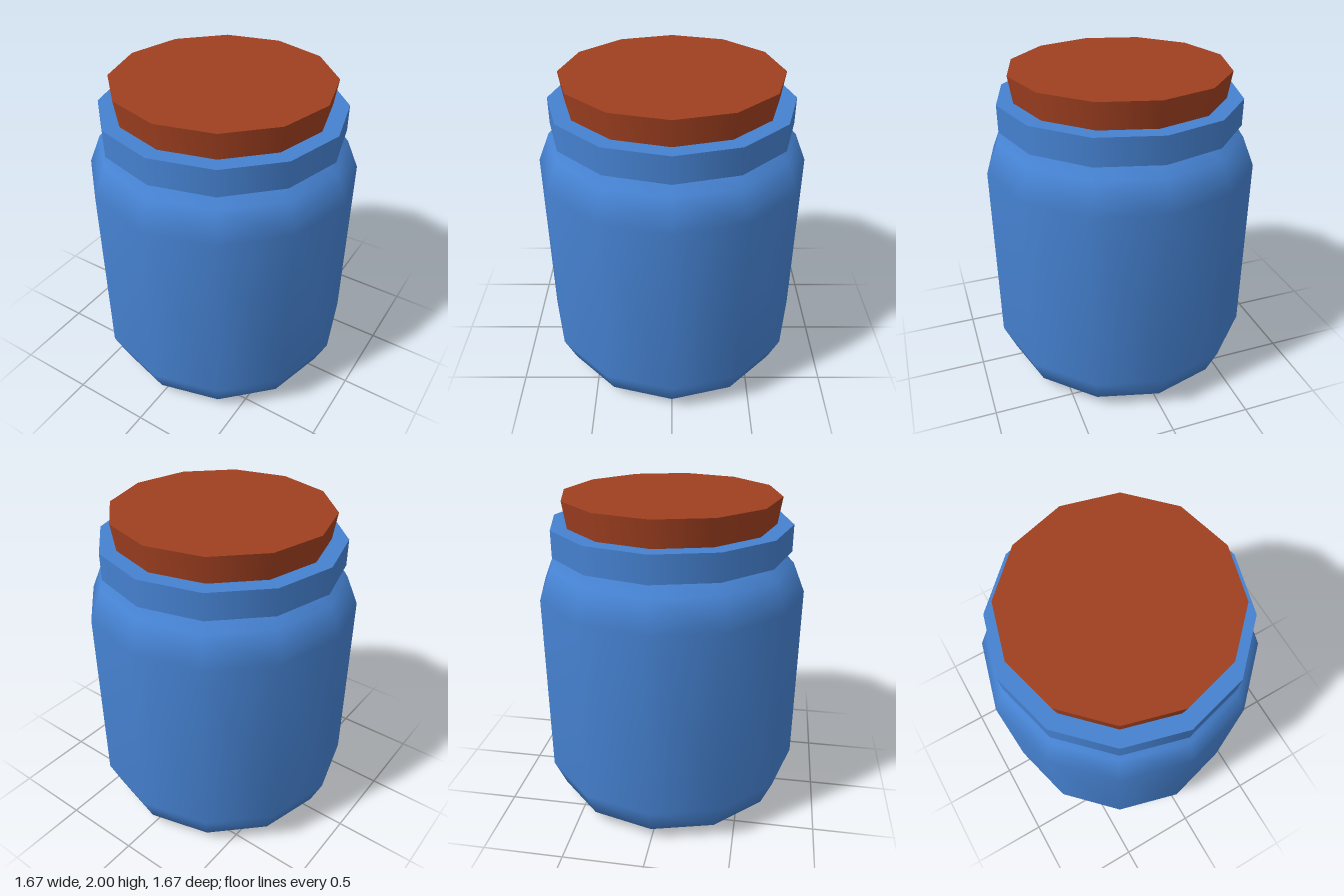
import * as THREE from 'three';

const SIDES = 12;

export function createModel() {
  const group = new THREE.Group();
  const glaze = new THREE.MeshStandardMaterial({ color: 0x4581d0 });
  const corkMaterial = new THREE.MeshStandardMaterial({ color: 0xa04020 });

  const add = (name, geometry, material, y = 0) => {
    const mesh = new THREE.Mesh(geometry, material);
    mesh.name = name;
    mesh.position.y = y;
    group.add(mesh);
  };

  // Jar body: smooth-shaded profile with bevelled foot and shoulder
  const profile = [
    [0, 0], [0.575, 0.005], [0.76, 0.08], [0.835, 0.255],
    [0.835, 1.42], [0.76, 1.6], [0.575, 1.655], [0, 1.66],
  ].map(([r, y]) => new THREE.Vector2(r, y));
  add('jarBody', new THREE.LatheGeometry(profile, SIDES), glaze);

  // Collar: flat band around the neck
  add('collar', new THREE.CylinderGeometry(0.745, 0.745, 0.165, SIDES), glaze, 1.755);

  // Cork: tapered stopper passing through the collar into the jar
  add('cork', new THREE.CylinderGeometry(0.67, 0.608, 0.4, SIDES), corkMaterial, 1.8);

  return group;
}
